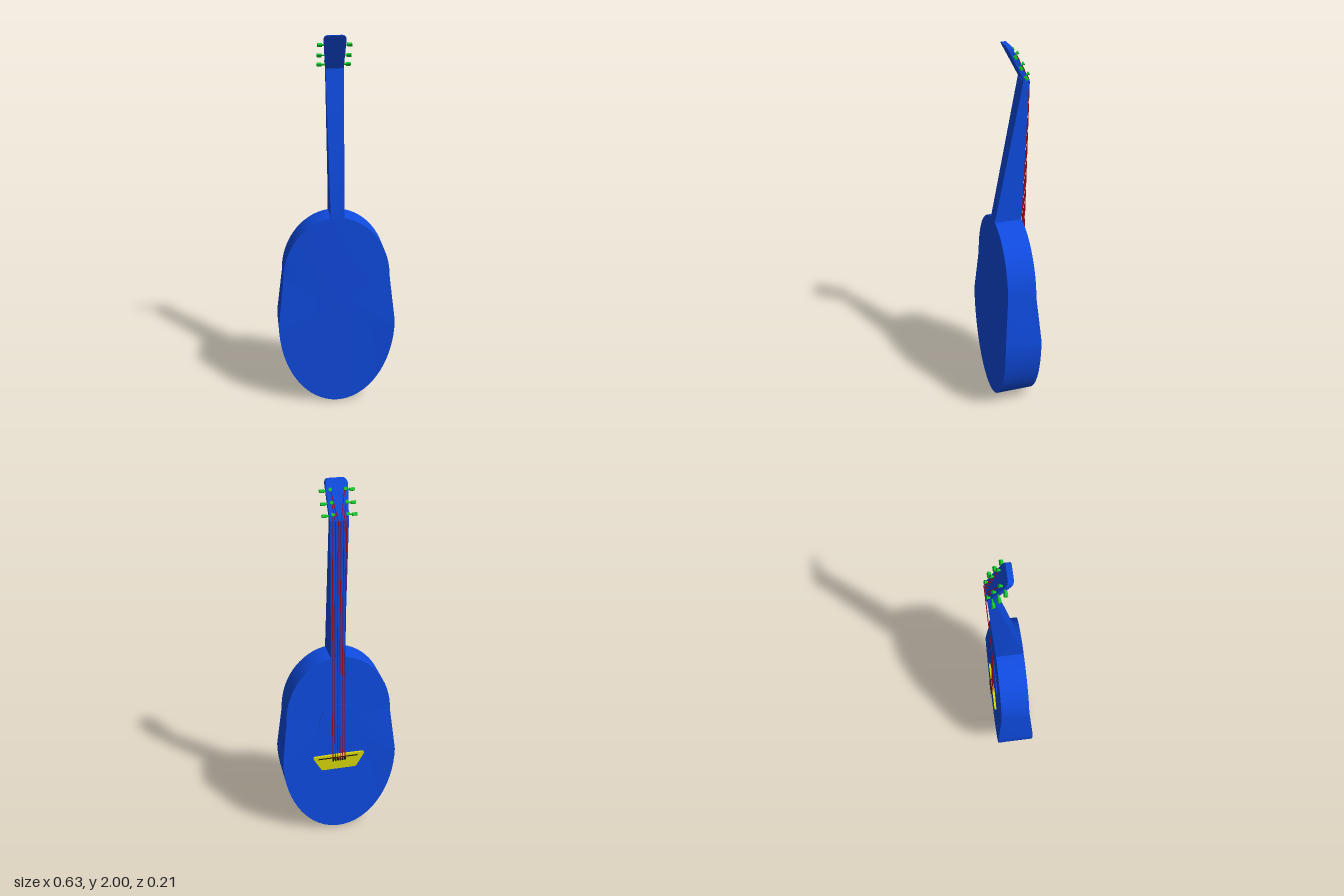
import * as THREE from 'three';
import { toCreasedNormals } from 'three/addons/utils/BufferGeometryUtils.js';

const mat = (color) => new THREE.MeshStandardMaterial({ color });
const blue = mat(0x0f4be0), red = mat(0xb0081c), green = mat(0x12c62c), yellow = mat(0xd6d60a), black = mat(0x141414);
const MID = 0.005; // centre line of neck and strings

function add(parent, name, geometry, material, x = 0, y = 0, z = 0) {
  const mesh = new THREE.Mesh(geometry, material);
  mesh.name = name;
  mesh.position.set(x, y, z);
  parent.add(mesh);
  return mesh;
}

// Joins equal-length rings of [x, y, z] points; a ring of one repeated point closes an end.
function loft(rings, crease = 0.4) {
  const n = rings[0].length, pos = [], idx = [];
  rings.forEach((ring) => ring.forEach((p) => pos.push(...p)));
  for (let r = 0; r < rings.length - 1; r++) {
    for (let i = 0; i < n; i++) {
      const a = r * n + i, b = r * n + (i + 1) % n;
      idx.push(a, b, b + n, a, b + n, a + n);
    }
  }
  const g = new THREE.BufferGeometry();
  g.setAttribute('position', new THREE.Float32BufferAttribute(pos, 3));
  g.setIndex(idx);
  return toCreasedNormals(g, crease);
}

// Straight-line interpolation through [y, z] knots.
function along(knots, y) {
  for (let i = 1; i < knots.length; i++) {
    const [y0, z0] = knots[i - 1], [y1, z1] = knots[i];
    if (y <= y1) return z0 + (z1 - z0) * Math.max(0, (y - y0) / (y1 - y0));
  }
  return knots[knots.length - 1][1];
}
const backZ = (y) => along([[0.48, 0.105], [0.74, 0.083], [1.08, 0.08]], y);
const frontZ = (y) => along([[0.48, -0.093], [0.74, -0.07], [1.08, -0.065]], y);

// Body: half ellipse below, straight waist, smaller half ellipse above
function bodyGeometry() {
  const outline = [], n = 32;
  for (let i = 0; i <= n; i++) {
    const a = Math.PI * i / n;
    outline.push([0.285 * Math.cos(a), 0.73 + 0.35 * Math.sin(a)]);
  }
  for (let i = 0; i <= n; i++) {
    const a = Math.PI * (1 + i / n);
    outline.push([0.315 * Math.cos(a), 0.48 + 0.48 * Math.sin(a)]);
  }
  return loft([
    outline.map(() => [0, 0.69, -0.075]),
    outline.map(([x, y]) => [x, y, frontZ(y)]),
    outline.map(([x, y]) => [x, y, backZ(y)]),
    outline.map(() => [0, 0.57, 0.097]),
  ].reverse().map((ring) => ring.reverse()));
}

// Sound hole: thin disc folded along its middle
function soundHoleGeometry() {
  const disc = [], n = 32;
  for (let i = 0; i < n; i++) {
    const a = 2 * Math.PI * i / n;
    disc.push([0.11 * Math.cos(a), 0.69 + 0.11 * Math.sin(a)]);
  }
  const z = (y) => along([[0.58, -0.081], [0.69, -0.08], [0.8, -0.076]], y);
  return loft([
    disc.map(([x, y]) => [x, y, -0.065]),
    disc.map(([x, y]) => [x, y, z(y)]),
    disc.map(([x]) => [x, 0.69, z(0.69)]),
  ].map((ring) => ring.reverse()), 0.02);
}

// Neck: tapered four-sided bar
function neckGeometry() {
  const section = (y, w, z0, z1) => [
    [MID - w, y, z1], [MID + w, y, z1], [MID + w, y, z0], [MID - w, y, z0],
  ];
  const point = (y, z) => Array(4).fill([MID, y, z]);
  return loft([
    point(1.05, 0), section(1.05, 0.036, -0.064, 0.079), section(1.08, 0.036, -0.065, 0.08),
    section(1.825, 0.046, -0.095, -0.066), point(1.825, -0.08),
  ]);
}

// Headstock: rounded plate leaning back, sheared so its ends stay level
const HEAD_Y = 1.825, LEAN = 0.52, TILT = Math.atan(LEAN);
const headZ = (y) => -0.095 + (y - HEAD_Y) * LEAN;
function headGeometry() {
  const s = new THREE.Shape();
  s.moveTo(MID - 0.046, HEAD_Y);
  s.lineTo(MID + 0.046, HEAD_Y);
  s.lineTo(0.055, 1.975);
  s.quadraticCurveTo(0.055, 2, 0.035, 2);
  s.lineTo(-0.035, 2);
  s.quadraticCurveTo(-0.055, 2, -0.055, 1.975);
  s.closePath();
  const g = new THREE.ExtrudeGeometry(s, { depth: 0.026, bevelEnabled: false, curveSegments: 6 });
  const p = g.attributes.position;
  for (let i = 0; i < p.count; i++) p.setZ(i, p.getZ(i) + headZ(p.getY(i)));
  g.computeVertexNormals();
  return g;
}

// Bridge: trapezoid plate, wide edge upwards
function bridgeGeometry() {
  const s = new THREE.Shape();
  s.moveTo(-0.085, 0.4);
  s.lineTo(0.095, 0.4);
  s.quadraticCurveTo(0.102, 0.4, 0.106, 0.408);
  s.lineTo(0.147, 0.48);
  s.quadraticCurveTo(0.148, 0.49, 0.138, 0.49);
  s.lineTo(-0.128, 0.49);
  s.quadraticCurveTo(-0.138, 0.49, -0.137, 0.48);
  s.lineTo(-0.096, 0.408);
  s.quadraticCurveTo(-0.092, 0.4, -0.085, 0.4);
  return new THREE.ExtrudeGeometry(s, { depth: 0.015, bevelEnabled: false, curveSegments: 4 });
}

// Tuner: post on the face, shaft through the edge, flat knob outside
function tuner(side, y) {
  const g = new THREE.Group();
  g.name = side > 0 ? 'leftTuner' : 'rightTuner';
  g.position.set(0, y, headZ(y));
  g.rotation.x = TILT;
  const post = new THREE.CylinderGeometry(0.006, 0.006, 0.018, 10).rotateX(Math.PI / 2);
  add(g, 'tunerPost', post, green, side * 0.037, 0, -0.007);
  const cap = new THREE.CylinderGeometry(0.009, 0.009, 0.005, 10).rotateX(Math.PI / 2);
  add(g, 'tunerCap', cap, green, side * 0.037, 0, -0.015);
  const shaft = new THREE.CylinderGeometry(0.004, 0.004, 0.03, 8).rotateZ(Math.PI / 2);
  add(g, 'tunerShaft', shaft, green, side * 0.055, 0, 0.011);
  add(g, 'tunerKnob', new THREE.BoxGeometry(0.024, 0.014, 0.014), green, side * 0.074, 0, 0.011);
  return g;
}

export function createModel() {
  const model = new THREE.Group();
  model.name = 'guitar';
  add(model, 'body', bodyGeometry(), blue);
  add(model, 'soundHole', soundHoleGeometry(), blue);
  add(model, 'neck', neckGeometry(), blue);
  add(model, 'headstock', headGeometry(), blue);
  add(model, 'bridge', bridgeGeometry(), yellow, 0, 0, -0.094);
  add(model, 'saddle', new THREE.BoxGeometry(0.22, 0.005, 0.006), black, 0.01, 0.475, -0.094);
  add(model, 'nut', new THREE.BoxGeometry(0.086, 0.008, 0.008), blue, MID, 1.822, -0.094);

  const rows = [1.85, 1.9, 1.955];
  for (const y of rows) for (const side of [-1, 1]) model.add(tuner(side, y));

  // Strings: from bridge pin over the nut to the matching tuner post
  for (let i = 0; i < 6; i++) {
    const x = MID + (i - 2.5) * 0.0135, side = i < 3 ? -1 : 1;
    const row = rows[i < 3 ? i : 5 - i];
    const points = [
      [x, 0.465, -0.1], [x, 0.52, -0.089], [x, 0.8, -0.08], [x, 1.08, -0.083],
      [x, 1.822, -0.1], [side * 0.034, row, headZ(row) - 0.007],
    ].map((p) => new THREE.Vector3(...p));
    const path = new THREE.CurvePath();
    for (let k = 1; k < points.length; k++) path.add(new THREE.LineCurve3(points[k - 1], points[k]));
    add(model, 'string', new THREE.TubeGeometry(path, 80, 0.002, 6), red);
    add(model, 'stringPin', new THREE.BoxGeometry(0.008, 0.014, 0.01), black, x, 0.465, -0.099);
  }
  return model;
}
